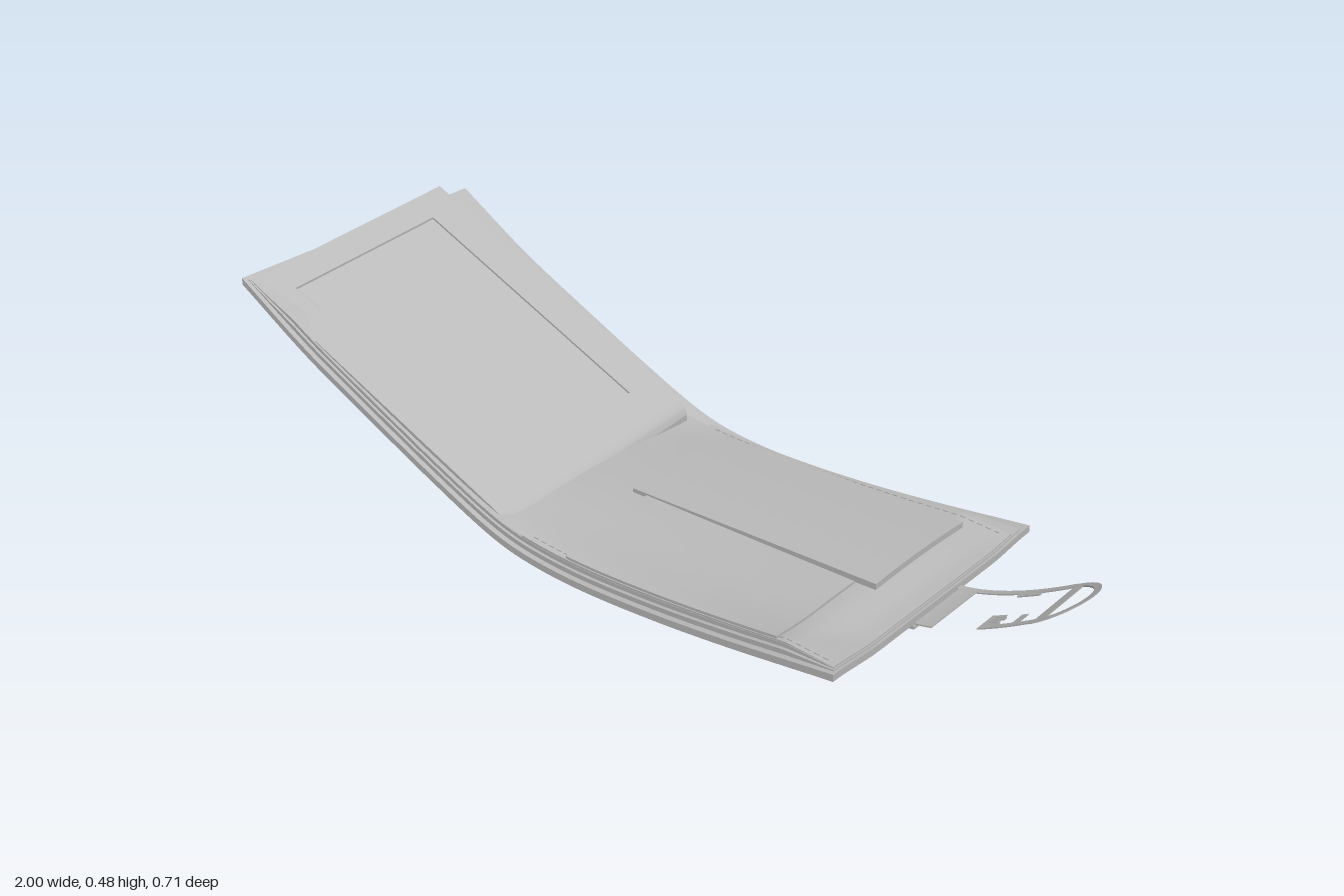
import * as THREE from 'three';
import { mergeGeometries } from 'three/addons/utils/BufferGeometryUtils.js';

const { lerp, clamp, smoothstep } = THREE.MathUtils;

// Smooth grid surface from a function (u, v) -> [x, y, z]
function grid(fn, nu, nv) {
  const pos = [], idx = [];
  for (let i = 0; i <= nu; i++) for (let j = 0; j <= nv; j++) pos.push(...fn(i / nu, j / nv));
  for (let i = 0; i < nu; i++) for (let j = 0; j < nv; j++) {
    const a = i * (nv + 1) + j, b = a + nv + 1;
    idx.push(a, a + 1, b, b, a + 1, b + 1);
  }
  const g = new THREE.BufferGeometry();
  g.setAttribute('position', new THREE.Float32BufferAttribute(pos, 3));
  g.setIndex(idx);
  g.computeVertexNormals();
  return g;
}

// Closed sheet between two height fields over a plan outline (u, v) -> [x, z]
function sheet(plan, bottom, top, nu, nv) {
  const p = (u, v, t) => {
    const [x, z] = plan(u, v);
    return [x, lerp(bottom(x, z), top(x, z), t), z];
  };
  return mergeGeometries([
    grid((u, v) => p(u, v, 1), nu, nv),
    grid((u, v) => p(v, u, 0), nv, nu),
    grid((u, v) => p(v, 1, u), 1, nu),
    grid((u, v) => p(u, 0, v), nu, 1),
    grid((u, v) => p(1, u, v), nv, 1),
    grid((u, v) => p(0, v, u), 1, nv),
  ]);
}

const rect = (x0, x1, z0, z1, shear = 0) => (u, v) => {
  const x = lerp(x0, x1, u);
  return [x, lerp(z0, z1, v) - shear * (x + 0.98)];
};

// Outer spine profile, interpolated smoothly in x
const spine = [[-1, .425], [-.8, .3], [-.6, .197], [-.4, .1], [-.25, .036], [-.15, .011],
  [0, 0], [.2, .008], [.4, .028], [.655, .064]];
function spineY(x) {
  const n = spine.length;
  let i = 0;
  while (i < n - 2 && x > spine[i + 1][0]) i++;
  const slope = k => {
    const a = spine[Math.max(k - 1, 0)], b = spine[Math.min(k + 1, n - 1)];
    return (b[1] - a[1]) / (b[0] - a[0]);
  };
  const [x0, y0] = spine[i], [x1, y1] = spine[i + 1], h = x1 - x0, t = (x - x0) / h;
  const t2 = t * t, t3 = t2 * t;
  return (2 * t3 - 3 * t2 + 1) * y0 + (t3 - 2 * t2 + t) * h * slope(i)
    + (3 * t2 - 2 * t3) * y1 + (t3 - t2) * h * slope(i + 1);
}

// Height fields: cover, lining layers, raised right panel, lifted flap, strap
const base = (x, z) => spineY(x) + 0.018 * smoothstep(Math.abs(z), 0.2, 0.355) * Math.max(0, 1 - x * x);
const taper = x => clamp((x + 1) / 0.15, 0.2, 1) * clamp((0.68 - x) / 0.15, 0.25, 1);
const layer = d => (x, z) => base(x, z) + 0.016 + d * taper(x);
const panelTop = (x, z) => {
  const edge = layer(0.03)(x, z);
  const mid = 0.1 - 0.016 * smoothstep(x, 0.52, 0.645);
  return lerp(edge, Math.max(edge, mid), Math.pow(Math.max(0, 1 - (z / 0.345) ** 2), 0.7));
};
const flapPlane = (x, z) => 0.41 - 0.46 * (x + 0.92) - 0.078 * (z - 0.27);
const flapTop = (x, z) => {
  const r = 0.045, d = clamp(x + 0.215 + r, 0, r);
  return flapPlane(x, z) - (r - Math.sqrt(r * r - d * d)) * 0.6;
};
const flapBottom = (x, z) => flapPlane(x, z) - lerp(0.012, 0.045, clamp((x + 0.98) / 0.765, 0, 1));
const strapY = x => 0.07 + 0.165 * Math.pow(Math.max(0, x - 0.65) / 0.35, 1.5);
const add = (f, d) => (x, z) => f(x, z) + d;

export function createModel() {
  const model = new THREE.Group();
  model.name = 'openWallet';
  const leather = new THREE.MeshStandardMaterial({ color: 0xbbbbbb });
  leather.name = 'light grey leather';

  const part = (name, plan, bottom, top, nu = 24, nv = 12, parent = model) => {
    const mesh = new THREE.Mesh(sheet(plan, bottom, top, nu, nv), leather);
    mesh.name = name;
    parent.add(mesh);
    return mesh;
  };
  const group = name => {
    const g = new THREE.Group();
    g.name = name;
    model.add(g);
    return g;
  };

  // Curved outer cover and stepped note pocket layers
  part('outerCover', rect(-1, 0.655, -0.356, 0.356), base, layer(0), 80, 32);
  part('backPocketLayer', rect(-0.99, 0.648, -0.325, 0.346), layer(0.003), layer(0.014), 80, 32);
  part('frontPocketLayer', rect(-0.985, 0.645, -0.298, 0.343), layer(0.018), layer(0.027), 80, 32);

  // Padded right side with its fold strip, loose card and lower pocket
  part('rightPanel', rect(-0.165, 0.645, -0.296, 0.342), layer(0.022), panelTop, 50, 40);
  part('foldStrip', rect(-0.225, -0.168, -0.29, 0.34), layer(0.02), add(panelTop, -0.004), 6, 40);
  const cardTop = (x, z) => 0.111 + 0.018 * (x + 0.08) - 0.18 * (z + 0.06) ** 2;
  part('card', rect(-0.08, 0.56, -0.24, 0.08), add(cardTop, -0.014), cardTop, 20, 16);
  part('lowerPocket', rect(-0.042, 0.508, 0.08, 0.34), add(panelTop, -0.006), add(panelTop, 0.006), 24, 24);

  // Lifted flap: frame around a recessed window, with a rounded fold edge
  const flap = group('windowFlap');
  const s = 0.018;
  [[-0.985, -0.92, -0.256, 0.342, 4], [-0.31, -0.215, -0.256, 0.342, 24],
    [-0.92, -0.31, -0.256, -0.165, 12], [-0.92, -0.31, 0.272, 0.342, 12]]
    .forEach(([x0, x1, z0, z1, n]) => part('flapFrame', rect(x0, x1, z0, z1, s), flapBottom, flapTop, n, 8, flap));
  part('flapWindow', rect(-0.92, -0.31, -0.165, 0.272, s), flapBottom, add(flapTop, -0.005), 12, 8, flap);

  // Card layers below the flap
  for (let i = 0; i < 2; i++) {
    const t = 0.35 + i * 0.35;
    const y = (x, z) => lerp(layer(0.027)(x, z), flapBottom(x, z), t);
    part('cardSlot', rect(-0.96, -0.235, -0.285 + i * 0.015, 0.325), add(y, -0.004), add(y, 0.002), 30, 16);
  }

  // Stitching along the right panel edges
  const stitches = group('stitching');
  for (let i = 0; i < 36; i++) {
    const x = -0.14 + i * 0.0215;
    for (const z of [-0.284, 0.33])
      part('stitch', rect(x, x + 0.012, z - 0.0015, z + 0.0015), panelTop, add(panelTop, 0.002), 1, 1, stitches);
  }

  // Open strap at the right end: legs, rounded tip, cross bars and inner catch
  const strap = group('strap');
  const strip = (name, plan, nu = 12, nv = 4) => part(name, plan, x => strapY(x) - 0.0015, x => strapY(x) + 0.0015, nu, nv, strap);
  strip('strapLongLeg', rect(0.655, 0.915, -0.09, -0.074), 16, 1);
  strip('strapShortLeg', rect(0.8, 0.915, 0.072, 0.086), 10, 1);
  strip('strapTip', (u, v) => {
    const a = lerp(-Math.PI / 2, Math.PI / 2, v), r = lerp(0.074, 0.088, u);
    return [0.912 + r * Math.cos(a), r * Math.sin(a)];
  }, 2, 28);
  strip('strapRootBar', rect(0.66, 0.7, -0.088, 0.088), 4, 4);
  strip('strapCrossBar', rect(0.916, 0.936, -0.078, 0.078), 4, 4);
  strip('catchBase', rect(0.8, 0.812, 0.028, 0.075), 2, 2);
  for (let i = 0; i < 4; i++)
    strip('catchTooth', rect(0.81, 0.832 + (i % 2) * 0.006, 0.028 + i * 0.012, 0.037 + i * 0.012), 2, 1);
  strip('catchBar', rect(0.868, 0.882, 0.036, 0.074), 2, 2);
  strip('catchSpine', rect(0.8, 0.85, -0.074, -0.062), 6, 1);

  // Strap anchor plate under the cover, with a raised border
  const anchor = group('strapAnchor');
  part('anchorPlate', rect(0.54, 0.655, -0.088, 0.088), add(base, -0.003), add(base, 0.001), 6, 6, anchor);
  [[0.54, 0.55, -0.088, 0.088], [0.645, 0.66, -0.088, 0.088], [0.55, 0.645, -0.088, -0.076], [0.55, 0.645, 0.076, 0.088]]
    .forEach(r => part('anchorBorder', rect(...r), add(base, -0.008), add(base, -0.001), 4, 4, anchor));

  return model;
}
